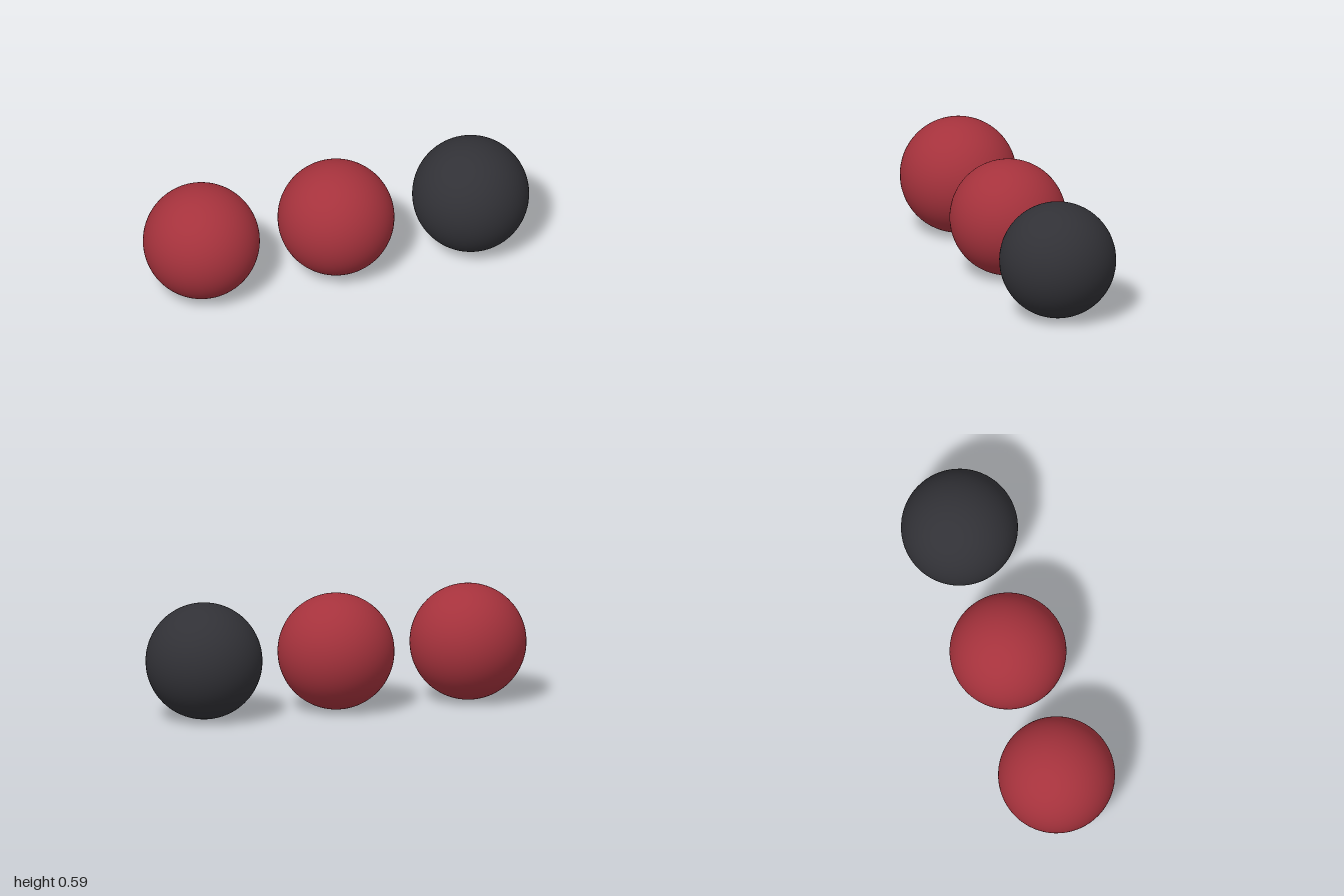
import * as THREE from 'three';

const RADIUS = 0.294;
const SPACING = 0.706;

export function createModel() {
  const model = new THREE.Group();
  model.name = 'ballRow';

  const red = new THREE.MeshStandardMaterial({ color: 0xa5323c });
  const black = new THREE.MeshStandardMaterial({ color: 0x313136 });
  const ball = new THREE.SphereGeometry(RADIUS, 64, 48);

  // Three equal balls in a row, resting on the ground
  const balls = [
    ['rightRedBall', red],
    ['middleRedBall', red],
    ['leftBlackBall', black],
  ];
  balls.forEach(([name, material], i) => {
    const mesh = new THREE.Mesh(ball, material);
    mesh.name = name;
    mesh.position.set((i - 1) * SPACING, RADIUS, 0);
    model.add(mesh);
  });

  return model;
}
